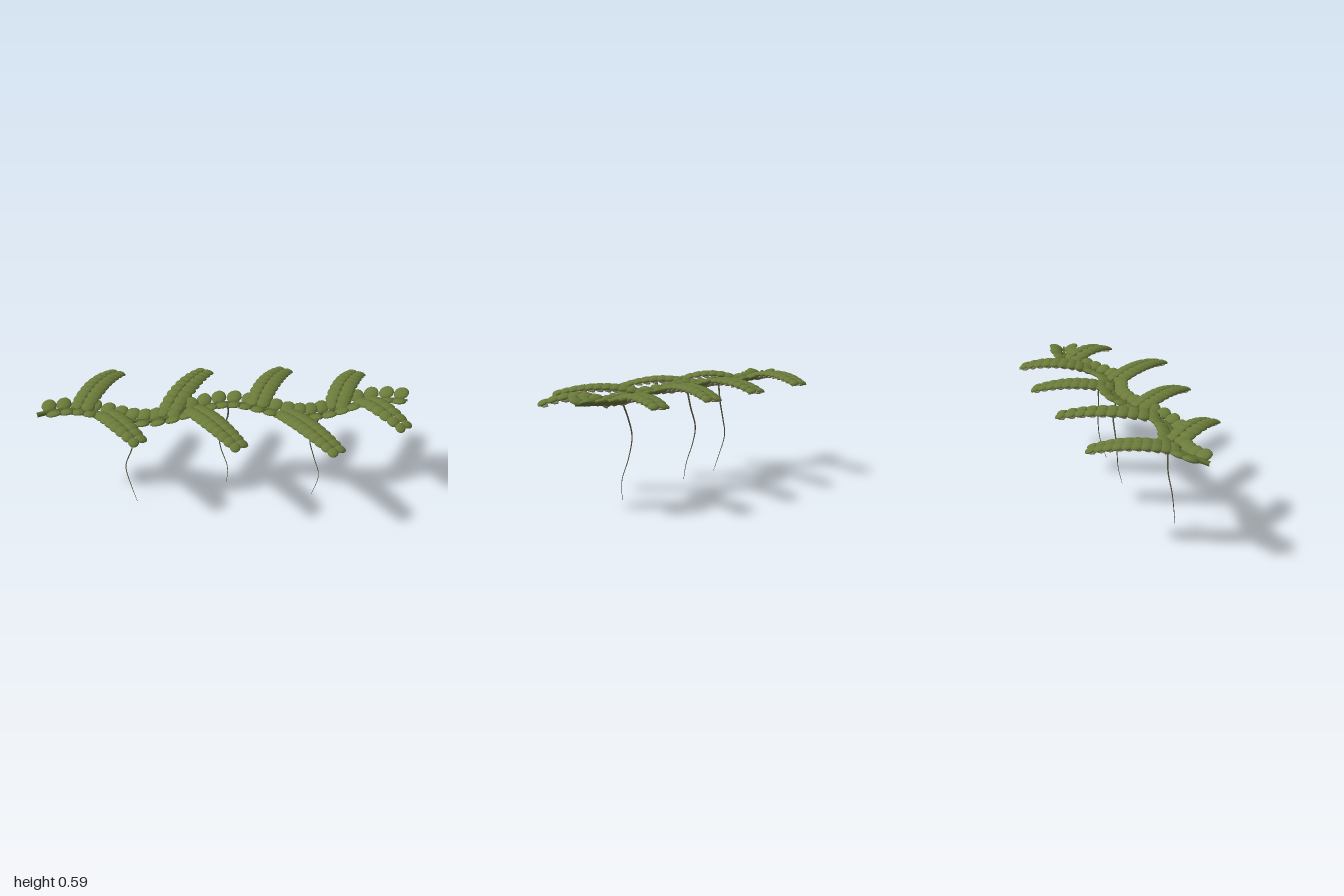
import * as THREE from 'three';
import { mergeGeometries } from 'three/addons/utils/BufferGeometryUtils.js';

const V = (x, y, z) => new THREE.Vector3(x, y, z);
const material = (name, color) => Object.assign(new THREE.MeshStandardMaterial({ color }), { name });

// Tube along a curve, narrowing from r0 to r1
function taperedTube(curve, segments, r0, r1, sides = 8) {
  const geo = new THREE.TubeGeometry(curve, segments, r0, sides, false);
  const pos = geo.attributes.position;
  const p = V(0, 0, 0);
  for (let i = 0; i < pos.count; i++) {
    const t = Math.floor(i / (sides + 1)) / segments;
    const c = curve.getPointAt(t);
    p.fromBufferAttribute(pos, i).sub(c).multiplyScalar(1 + (r1 / r0 - 1) * t).add(c);
    pos.setXYZ(i, p.x, p.y, p.z);
  }
  return geo;
}

// Unit leaf: a shallow dome, slightly narrower towards its tip (+x)
function leafShape() {
  const geo = new THREE.SphereGeometry(1, 12, 8);
  const pos = geo.attributes.position;
  for (let i = 0; i < pos.count; i++) {
    const x = pos.getX(i), y = pos.getY(i);
    const narrow = x > 0 ? 1 - 0.15 * x * x : 1;
    pos.setXYZ(i, x, y > 0 ? y * 0.4 : y * 0.22, pos.getZ(i) * narrow * 0.92);
  }
  geo.computeVertexNormals();
  return geo;
}

// One leaf beside a stem; side is +1 or -1.
// style: spread angle, tilt (outer edge down), pitch (tip down), lift above the stem
function placeLeaf(base, curve, t, side, size, offset, { spread, tilt, pitch, lift }) {
  const T = curve.getTangentAt(t);
  const S = V(-T.z, 0, T.x).normalize().multiplyScalar(side);
  const U = V(0, 1, 0).addScaledVector(T, -T.y).normalize();
  const up = U.clone().addScaledVector(S, tilt).addScaledVector(T, pitch).normalize();
  const dir = T.clone().multiplyScalar(Math.cos(spread)).addScaledVector(S, Math.sin(spread));
  dir.addScaledVector(up, -dir.dot(up)).normalize();
  const m = new THREE.Matrix4().makeBasis(dir, up, dir.clone().cross(up));
  m.scale(V(size, size, size));
  const at = curve.getPointAt(t).addScaledVector(S, offset).addScaledVector(U, lift);
  return base.clone().applyMatrix4(m.setPosition(at));
}

const STEM_LEAF = { spread: 1.0, tilt: -0.35, pitch: -0.1, lift: 0.01 };
const BRANCH_LEAF = { spread: 0.8, tilt: 0.15, pitch: 0.05, lift: 0.006 };
const UNDER_LOBE = { spread: 0.8, tilt: 0.15, pitch: -0.4, lift: -0.008 };

export function createModel() {
  const group = new THREE.Group();
  group.name = 'floatingFern';
  const leafGreen = material('leafGreen', 0x6b7b3a);
  const stemGreen = material('stemGreen', 0x5a692f);
  const paleLobe = material('paleLobe', 0x959270);
  const rootBrown = material('rootBrown', 0x5c5a40);
  const add = (parent, name, geo, mat) => {
    const mesh = new THREE.Mesh(geo, mat);
    mesh.name = name;
    parent.add(mesh);
  };
  const leaf = leafShape();

  // Main stem, a gentle wave in plan and height
  const stemAt = x => V(x, 0.53 + 0.015 * Math.cos(2 * Math.PI * x), -0.055 * Math.cos(2.5 * Math.PI * x));
  const stemPoints = [];
  for (let i = 0; i <= 32; i++) stemPoints.push(stemAt(-1 + i * 1.97 / 32));
  const stem = new THREE.CatmullRomCurve3(stemPoints);
  add(group, 'mainStem', taperedTube(stem, 96, 0.013, 0.006), stemGreen);

  // Paired leaves along the main stem
  const stemLeaves = [];
  for (let i = 0; i < 28; i++) {
    const t = 0.04 + 0.94 * i / 27;
    for (const side of [-1, 1]) stemLeaves.push(placeLeaf(leaf, stem, t, side, 0.044, 0.045, STEM_LEAF));
  }
  add(group, 'stemLeaves', mergeGeometries(stemLeaves), leafGreen);

  // Side branches: base x, tip x, tip z, leaf pairs
  const branches = [
    [-0.77, -0.59, -0.425, 10], [-0.32, -0.1, -0.405, 10], [0.16, 0.345, -0.39, 10], [0.58, 0.745, -0.33, 9],
    [-0.65, -0.475, 0.26, 8], [-0.18, 0.035, 0.34, 10], [0.29, 0.52, 0.42, 11], [0.74, 0.9, 0.22, 7],
  ];
  for (const [x0, x1, z1, pairs] of branches) {
    const start = stemAt(x0), end = V(x1, 0.53, z1);
    const mid = start.clone().lerp(end, 0.5).add(V(-0.025, 0.065, 0));
    const curve = new THREE.QuadraticBezierCurve3(start, mid, end);
    const branch = new THREE.Group();
    branch.name = 'branch';
    add(branch, 'branchStem', taperedTube(curve, 24, 0.008, 0.004, 6), stemGreen);
    const tops = [], lobes = [];
    for (let i = 0; i < pairs; i++) {
      const t = 0.06 + 0.94 * i / (pairs - 1);
      const size = 0.041 * (1 - 0.24 * Math.pow(Math.abs(t - 0.35) / 0.65, 2));
      for (const side of [-1, 1]) {
        tops.push(placeLeaf(leaf, curve, t, side, size, size * 0.82, BRANCH_LEAF));
        lobes.push(placeLeaf(leaf, curve, t, side, size * 0.68, size * 0.62, UNDER_LOBE));
      }
    }
    add(branch, 'branchLeaves', mergeGeometries(tops), leafGreen);
    add(branch, 'underLobes', mergeGeometries(lobes), paleLobe);
    group.add(branch);
  }

  // Hanging roots
  const roots = [
    [[-0.51, 0.515, 0.037], [-0.495, 0.41, 0.018], [-0.515, 0.31, 0.01], [-0.55, 0.21, 0.017], [-0.525, 0.09, 0.042], [-0.497, 0, 0.062]],
    [[0.01, 0.535, -0.055], [0.008, 0.44, -0.076], [-0.036, 0.33, -0.08], [-0.03, 0.25, -0.071], [0.006, 0.13, -0.048], [0, 0.04, -0.028]],
    [[0.5, 0.515, 0.037], [0.47, 0.42, 0.018], [0.45, 0.33, 0.01], [0.475, 0.22, 0.016], [0.503, 0.11, 0.038], [0.465, 0, 0.062]],
  ];
  for (const points of roots) {
    const curve = new THREE.CatmullRomCurve3(points.map(p => V(...p)));
    add(group, 'root', taperedTube(curve, 40, 0.005, 0.001, 6), rootBrown);
  }
  return group;
}
